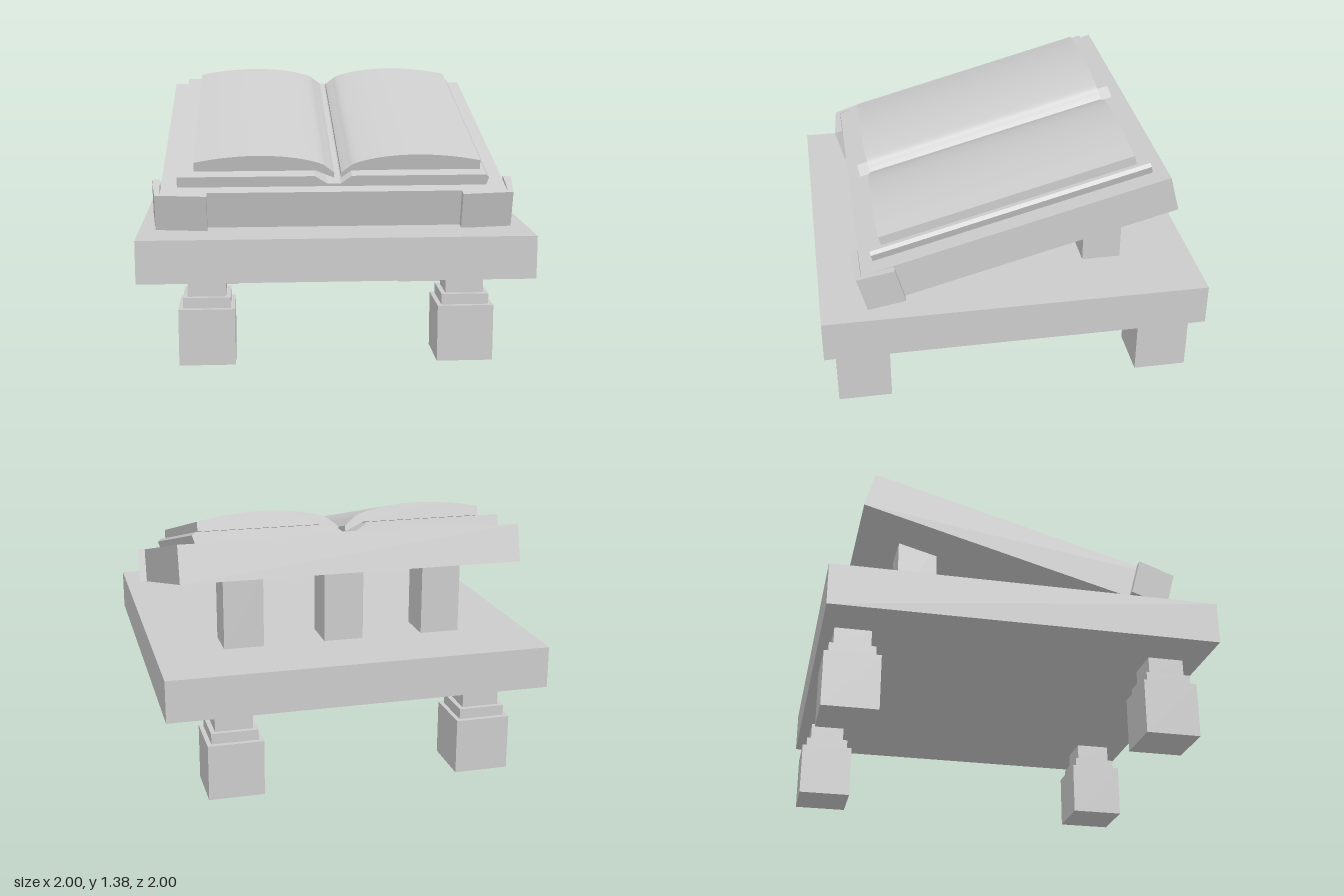
import * as THREE from 'three';
import { toCreasedNormals } from 'three/addons/utils/BufferGeometryUtils.js';

const material = new THREE.MeshStandardMaterial({ color: 0xcccccc });

function add(parent, name, geometry, x = 0, y = 0, z = 0) {
  const mesh = new THREE.Mesh(geometry, material);
  mesh.name = name;
  mesh.position.set(x, y, z);
  parent.add(mesh);
  return mesh;
}

// box standing on height y
function block(parent, name, w, h, d, x, y, z) {
  return add(parent, name, new THREE.BoxGeometry(w, h, d), x, y + h / 2, z);
}

// closed outline extruded along its own normal
function extrude(points, depth) {
  const shape = new THREE.Shape(points.map(([x, y]) => new THREE.Vector2(x, y)));
  return new THREE.ExtrudeGeometry(shape, { depth, bevelEnabled: false });
}

export function createModel() {
  const model = new THREE.Group();
  model.name = 'bookStand';

  // square base slab
  block(model, 'baseSlab', 2, 0.22, 2, 0, 0.44, 0);

  // stepped legs
  for (const x of [-0.655, 0.655]) {
    for (const z of [0.797, -0.843]) {
      const leg = new THREE.Group();
      leg.name = `${z > 0 ? 'front' : 'back'}${x > 0 ? 'Left' : 'Right'}Leg`;
      leg.position.set(x, 0, z);
      model.add(leg);
      block(leg, 'foot', 0.285, 0.29, 0.285, 0, 0, 0);
      block(leg, 'collar', 0.24, 0.055, 0.236, 0, 0.29, 0);
      block(leg, 'neck', 0.193, 0.095, 0.188, 0, 0.345, 0);
    }
  }

  // posts holding up the rear of the board
  for (const x of [-0.535, 0, 0.535]) {
    block(model, 'supportPost', 0.21, 0.39, 0.205, x, 0.66, -0.513);
  }

  // tilted desk; its local y = 0 is the top of the board
  const desk = new THREE.Group();
  desk.name = 'tiltedDesk';
  desk.position.y = 1.065;
  desk.rotation.x = THREE.MathUtils.degToRad(15);
  model.add(desk);
  block(desk, 'board', 1.775, 0.195, 1.62, 0, -0.195, 0);

  // slightly splayed corner brackets
  for (const side of [-1, 1]) {
    const outline = [
      [0.652, 0.812], [0.652, 0.858], [0.914, 0.838], [0.938, 0.638],
      [0.897, 0.638], [0.889, 0.812],
    ].map(([x, z]) => [x * side, z]);
    const geometry = extrude(outline, 0.193).rotateX(Math.PI / 2);
    add(desk, side > 0 ? 'leftBracket' : 'rightBracket', geometry, 0, 0.002, 0);
  }

  // open book cover, dipping at the spine
  const cover = extrude([
    [-0.805, 0], [0.79, 0], [0.803, 0.042], [0.785, 0.057], [0.09, 0.057],
    [0.035, 0.015], [-0.035, 0.015], [-0.1, 0.057], [-0.805, 0.057],
  ], 1.48);
  add(desk, 'bookCover', cover, 0, 0, -0.74);

  // two arched page blocks, mirrored about the gutter
  const arch = new THREE.SplineCurve([
    [0.742, 0.109], [0.6, 0.133], [0.42, 0.145], [0.24, 0.134], [0.1, 0.103],
    [0.05, 0.072], [0.018, 0.046],
  ].map(([x, y]) => new THREE.Vector2(x, y))).getPoints(28);
  for (const side of [-1, 1]) {
    const outline = [
      ...arch.map((p) => [p.x, p.y]), [0.018, 0.018], [0.115, 0.06], [0.742, 0.06],
    ].map(([x, y]) => [x * side + 0.022, y]);
    const geometry = toCreasedNormals(extrude(outline, 1.35), 0.5);
    add(desk, side > 0 ? 'leftPages' : 'rightPages', geometry, 0, 0, -0.675);
  }

  return model;
}
